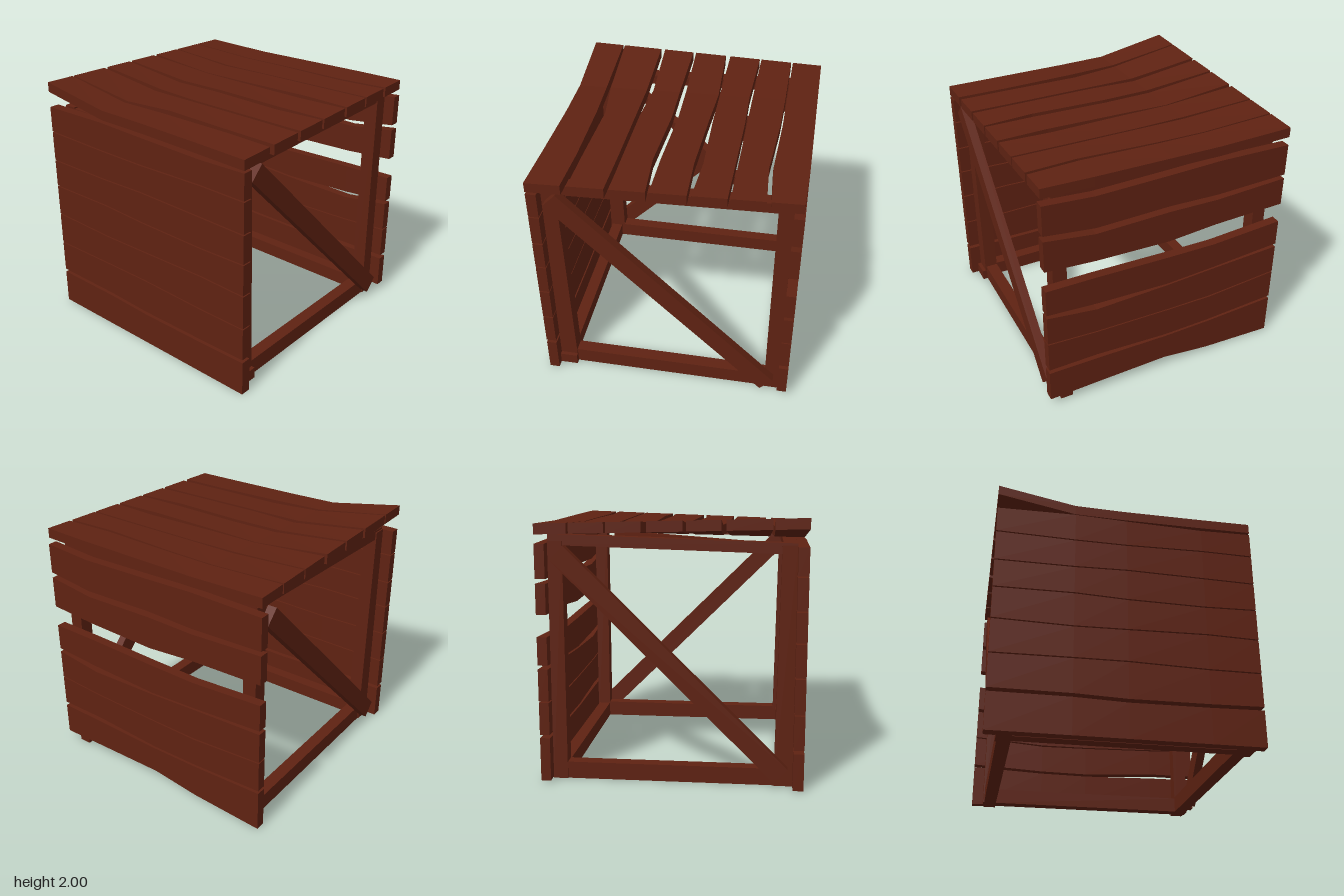
import * as THREE from 'three';

const wood = new THREE.MeshStandardMaterial({ color: 0x5f2212, flatShading: true, roughness: 0.9 });
const STATIONS = [1, 0.6, 0, -0.4, -1]; // z positions where plank edges bend

function addMesh(parent, name, geometry) {
  const mesh = new THREE.Mesh(geometry, wood);
  mesh.name = name;
  parent.add(mesh);
  return mesh;
}

// Axis-aligned timber given by its limits
function block(parent, name, x0, x1, y0, y1, z0, z1) {
  const mesh = addMesh(parent, name, new THREE.BoxGeometry(x1 - x0, y1 - y0, z1 - z0));
  mesh.position.set((x0 + x1) / 2, (y0 + y1) / 2, (z0 + z1) / 2);
  return mesh;
}

// Timber running between two points
function beam(parent, name, from, to, width, height) {
  const a = new THREE.Vector3(...from), b = new THREE.Vector3(...to);
  const mesh = addMesh(parent, name, new THREE.BoxGeometry(width, height, a.distanceTo(b)));
  mesh.position.copy(a).add(b).multiplyScalar(0.5);
  mesh.lookAt(b);
  return mesh;
}

// Board along z; place(u, v, station index) gives x and y for the two cross-section sides
function plank(parent, name, place) {
  const geometry = new THREE.BoxGeometry(1, 1, 2, 1, 1, STATIONS.length - 1);
  const p = geometry.attributes.position;
  for (let i = 0; i < p.count; i++) {
    const k = Math.round((1 - p.getZ(i)) / 2 * (STATIONS.length - 1));
    const [x, y] = place(p.getX(i) + 0.5, p.getY(i) + 0.5, k);
    p.setXYZ(i, x, y, STATIONS[k]);
  }
  geometry.computeVertexNormals();
  addMesh(parent, name, geometry);
}

const mix = THREE.MathUtils.lerp;

// Height of the warped roof top: low front left corner, raised back left corner
function roofTop(x, z) {
  const front = 1.89 + 0.035 * (x + 1);
  const bend = 1.9 + 0.02 * (x + 1);
  const back = 2.0 - 0.025 * (x + 1);
  return z > -0.4 ? mix(bend, front, (z + 0.4) / 1.4) : mix(back, bend, (z + 1) / 0.6);
}

export function createModel() {
  const model = new THREE.Group();
  model.name = 'woodenShed';
  const group = (name) => {
    const g = new THREE.Group();
    g.name = name;
    model.add(g);
    return g;
  };

  // Corner posts; those on the right side widen towards the ground
  const frame = group('frame');
  for (const s of [-1, 1]) {
    block(frame, 'leftPost', 0.8, 0.91, 0, 1.82, s * 0.855 - 0.055, s * 0.855 + 0.055);
    const post = block(frame, 'rightPost', -0.91, -0.8, 0, 1.8, s * 0.855 - 0.055, s * 0.855 + 0.055);
    const p = post.geometry.attributes.position;
    for (let i = 0; i < p.count; i++) {
      if (p.getX(i) > 0 && p.getY(i) < 0) p.setX(i, p.getX(i) + 0.03);
    }
    // Rails across front and back
    block(frame, 'baseRail', -0.9, 0.95, 0, 0.13, s * 0.85 - 0.05, s * 0.85 + 0.05);
    beam(frame, 'topRail', [-0.91, 1.775, s * 0.85], [0.91, 1.83, s * 0.85], 0.1, 0.08);
    // Rails along the side walls
    block(frame, 'sideBaseRail', s * 0.85 - 0.05, s * 0.85 + 0.05, 0, 0.12, -0.82, 0.82);
    const y = 1.79 + s * 0.025;
    block(frame, 'sideTopRail', s * 0.86 - 0.05, s * 0.86 + 0.05, y - 0.04, y + 0.04, -0.82, 0.82);
    // Diagonal brace on the outside of the posts
    beam(frame, s > 0 ? 'frontBrace' : 'backBrace',
      [-0.83 * s, 1.74, s * 0.945], [0.82 * s, 0.1, s * 0.945], 0.07, 0.145);
  }
  block(frame, 'foot', -0.91, -0.77, 0, 0.09, 0.8, 0.94);
  beam(frame, 'roofBrace', [-0.72, 1.775, -0.84], [0.7, 1.75, 0.77], 0.06, 0.075);

  // Left wall: bottom and top edge of each board at the stations
  const leftWall = group('leftWall');
  const leftBoards = [
    [[0.07, 0.08, 0.09, 0.04, 0.01], [0.335, 0.33, 0.315, 0.32, 0.345]],
    [[0.37, 0.37, 0.335, 0.34, 0.37], [0.62, 0.595, 0.58, 0.575, 0.62]],
    [[0.63, 0.605, 0.59, 0.588, 0.63], [0.87, 0.815, 0.83, 0.85, 0.875]],
    [[0.9, 0.87, 0.845, 0.865, 0.905], [1.115, 1.11, 1.092, 1.085, 1.12]],
    [[1.29, 1.26, 1.24, 1.27, 1.285], [1.545, 1.49, 1.5, 1.49, 1.515]],
    [[1.59, 1.54, 1.55, 1.535, 1.55], [1.83, 1.8, 1.81, 1.82, 1.805]],
  ];
  for (const [low, high] of leftBoards) {
    plank(leftWall, 'wallBoard', (u, v, k) => [mix(0.91, 0.985, u), mix(low[k], high[k], v)]);
  }

  // Right wall: seven boards with gently wavering seams
  const rightWall = group('rightWall');
  const seams = [0, 0.295, 0.578, 0.85, 1.105, 1.34, 1.585, 1.8];
  for (let i = 0; i < 7; i++) {
    const edge = (n, k, side) => {
      if (n === 0) return 0;
      const gap = n === 1 ? 0.014 : 0.005;
      return seams[n] + 0.012 * Math.sin(n * 2.3 + k * 1.4) * (k % 4 ? 1 : 0.2) + side * gap;
    };
    plank(rightWall, 'wallBoard', (u, v, k) =>
      [mix(-0.99, -0.91, u), mix(edge(i, k, 1), edge(i + 1, k, -1), v)]);
  }

  // Roof: side edges of each board at the stations
  const roof = group('roof');
  const roofBoards = [
    [[-0.99, -0.98, -0.97, -0.975, -0.99], [-0.725, -0.715, -0.725, -0.745, -0.745]],
    [[-0.675, -0.67, -0.655, -0.71, -0.73], [-0.41, -0.405, -0.405, -0.405, -0.405]],
    [[-0.375, -0.375, -0.375, -0.35, -0.37], [-0.115, -0.145, -0.12, -0.13, -0.12]],
    [[-0.09, -0.09, -0.07, -0.08, -0.095], [0.175, 0.16, 0.175, 0.19, 0.165]],
    [[0.205, 0.225, 0.205, 0.2, 0.205], [0.455, 0.455, 0.455, 0.442, 0.46]],
    [[0.475, 0.475, 0.47, 0.468, 0.475], [0.72, 0.695, 0.725, 0.73, 0.73]],
    [[0.75, 0.725, 0.742, 0.742, 0.745], [0.975, 0.985, 0.985, 0.985, 0.985]],
  ];
  for (const [a, b] of roofBoards) {
    plank(roof, 'roofBoard', (u, v, k) => {
      const x = mix(a[k], b[k], u);
      return [x, roofTop(x, STATIONS[k]) - 0.078 * (1 - v)];
    });
  }
  return model;
}
